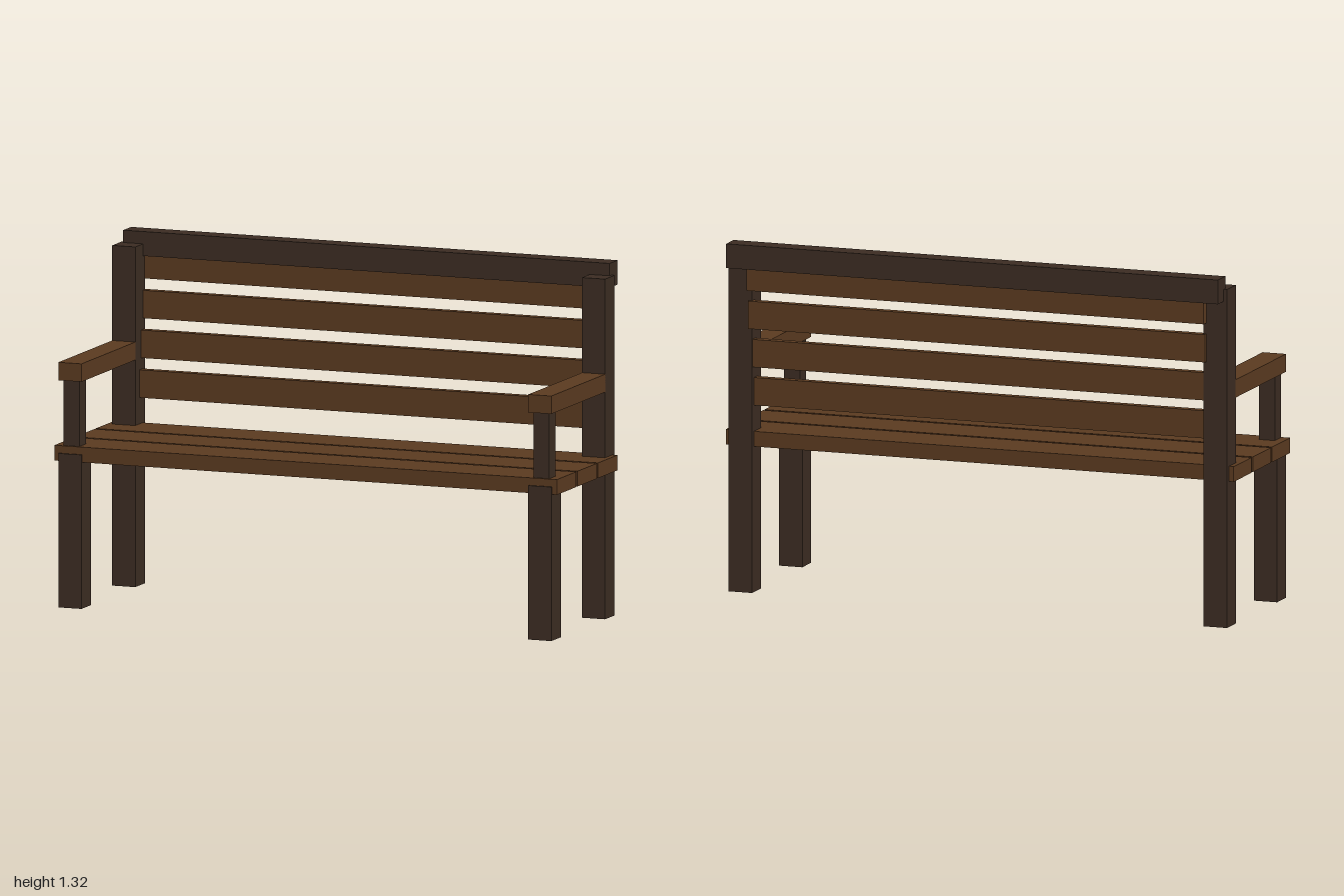
import * as THREE from 'three';

export function createModel() {
  const bench = new THREE.Group();
  bench.name = 'bench';

  const frameWood = new THREE.MeshStandardMaterial({ color: 0x3b2c22 });
  frameWood.name = 'darkFrameWood';
  const slatWood = new THREE.MeshStandardMaterial({ color: 0x5a3a20 });
  slatWood.name = 'brownSlatWood';

  // Adds a box spanning [min, max] on y and z, centred on x
  function beam(name, material, x, width, [y0, y1], [z0, z1]) {
    const mesh = new THREE.Mesh(new THREE.BoxGeometry(width, y1 - y0, z1 - z0), material);
    mesh.name = name;
    mesh.position.set(x, (y0 + y1) / 2, (z0 + z1) / 2);
    bench.add(mesh);
  }

  // Legs, posts and arms, mirrored left and right
  for (const [side, s] of [['left', 1], ['right', -1]]) {
    const x = s * 0.935;
    beam(side + 'FrontLeg', frameWood, x, 0.092, [0, 0.575], [0.245, 0.338]);
    beam(side + 'BackPost', frameWood, x, 0.092, [0, 1.27], [-0.276, -0.183]);
    beam(side + 'ArmSupport', frameWood, x, 0.063, [0.6, 0.85], [0.26, 0.323]);
    beam(side + 'Armrest', slatWood, x, 0.092, [0.848, 0.915], [-0.185, 0.338]);
  }

  // Seat slats
  for (let i = 0; i < 3; i++) {
    const front = 0.331 - i * 0.2;
    beam('seatSlat' + (i + 1), slatWood, 0, 2, [0.546, 0.603], [front - 0.187, front]);
  }

  // Back slats, each stepped slightly further back than the one below
  for (let i = 0; i < 4; i++) {
    const y = 0.701 + i * 0.146;
    const front = -0.224 - i * 0.0157;
    beam('backSlat' + (i + 1), slatWood, 0, 1.8, [y, y + 0.104], [front - 0.032, front]);
  }

  // Top rail
  beam('topRail', frameWood, 0, 1.936, [1.225, 1.316], [-0.336, -0.258]);

  return bench;
}
